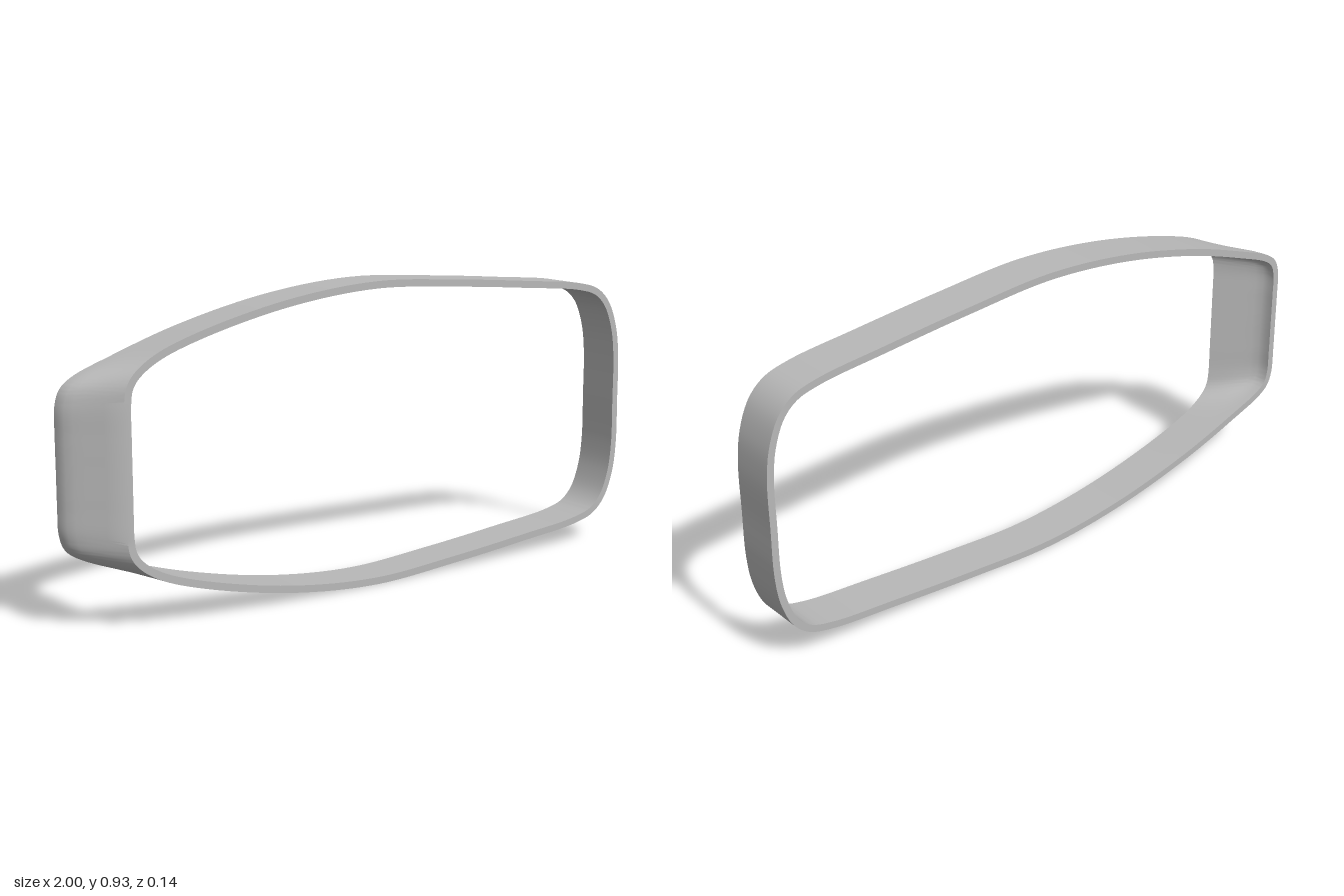
import * as THREE from 'three';
import { toCreasedNormals } from 'three/addons/utils/BufferGeometryUtils.js';

const MID = 0.4635, WALL = 0.022, STEPS = 240;

// Upper half of each rim as [x, height above the middle], left end to right end
const shared = [
  [-0.6, 0.373], [-0.3, 0.437], [0, 0.4635], [0.3, 0.447], [0.6, 0.421], [0.82, 0.398],
  [0.9, 0.374], [0.95, 0.328], [0.985, 0.245], [0.999, 0.15], [1, 0],
];
const backRim = [[-1, 0], [-1, 0.1], [-0.998, 0.18], [-0.982, 0.225], [-0.945, 0.255], [-0.82, 0.303], ...shared];
const frontRim = [[-0.862, 0], [-0.862, 0.1], [-0.861, 0.19], [-0.853, 0.235], [-0.828, 0.272], [-0.76, 0.318], ...shared];

// Rim depth and how far it has moved from the back outline to the front one
const levels = [[-0.07, 0], [-0.052, 0.02], [-0.035, 0.08], [-0.018, 0.21], [0, 0.37], [0.035, 0.69], [0.07, 1]];

// Closed smooth loop, mirrored below the middle
function rimCurve(half) {
  const lower = half.slice(1, -1).reverse().map(([x, h]) => [x, -h]);
  const points = [...half, ...lower].map(([x, h]) => new THREE.Vector3(x, MID + h, 0));
  return new THREE.CatmullRomCurve3(points, true, 'centripetal');
}

function bandGeometry() {
  const back = rimCurve(backRim), front = rimCurve(frontRim);
  const outline = (i, blend) => {
    const t = ((i + STEPS) % STEPS) / STEPS;
    return back.getPoint(t).lerp(front.getPoint(t), blend);
  };
  // Wall section: outside from back to front, then inside from front to back
  const section = [
    ...levels.map(([z, b]) => [z, b, 0]),
    ...levels.slice().reverse().map(([z, b]) => [z, b, WALL]),
  ];
  const n = section.length, position = [], index = [];
  for (let i = 0; i < STEPS; i++) {
    for (const [z, blend, inset] of section) {
      const p = outline(i, blend);
      const dir = outline(i + 1, blend).sub(outline(i - 1, blend)).normalize();
      position.push(p.x + dir.y * inset, p.y - dir.x * inset, z);
    }
    const next = (i + 1) % STEPS;
    for (let j = 0; j < n; j++) {
      const k = (j + 1) % n;
      const a = i * n + j, b = i * n + k, c = next * n + j, d = next * n + k;
      index.push(a, b, c, b, d, c);
    }
  }
  const geometry = new THREE.BufferGeometry();
  geometry.setAttribute('position', new THREE.Float32BufferAttribute(position, 3));
  geometry.setIndex(index);
  return toCreasedNormals(geometry, 0.7);
}

export function createModel() {
  const group = new THREE.Group();
  group.name = 'bezelFrame';
  const grey = new THREE.MeshStandardMaterial({ color: 0xb8b8b8 });
  grey.name = 'plain grey';
  // Thin closed band with a slanted left end
  const band = new THREE.Mesh(bandGeometry(), grey);
  band.name = 'frameBand';
  group.add(band);
  return group;
}
